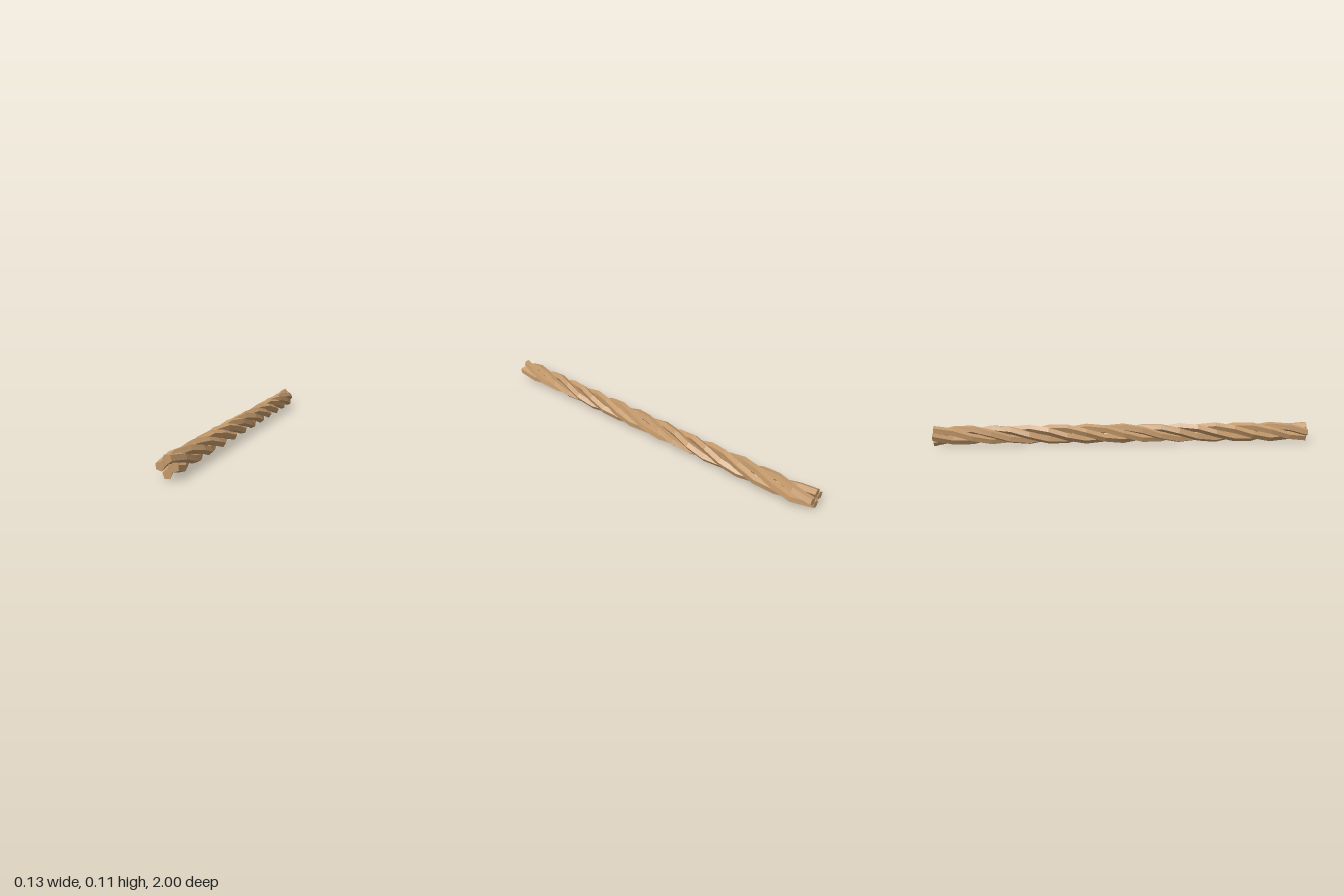
import * as THREE from 'three';

const STRANDS = 4, TURNS = 3, SEGMENTS = 20;
const HELIX_RADIUS = 0.032, STRAND_RADIUS = 0.022;
const DRIFT = THREE.MathUtils.degToRad(50); // slow roll of each strand's section

// One five-sided strand, wound around the rope's z axis
function strandGeometry(phase) {
  const geo = new THREE.CylinderGeometry(STRAND_RADIUS, STRAND_RADIUS, 2, 5, SEGMENTS);
  geo.rotateX(Math.PI / 2);
  const pos = geo.attributes.position;
  for (let i = 0; i < pos.count; i++) {
    const x = pos.getX(i), y = pos.getY(i), z = pos.getZ(i);
    const t = (1 - z) / 2; // 0 at the front end, 1 at the back end
    const wind = phase - t * TURNS * Math.PI * 2;
    const roll = phase - t * DRIFT;
    const c = Math.cos(roll), s = Math.sin(roll);
    // the back end bends slightly sideways
    const shift = z < -0.99 ? -0.022 : 0;
    pos.setXY(i,
      x * c - y * s - Math.sin(wind) * HELIX_RADIUS + 0.01 + shift,
      x * s + y * c + Math.cos(wind) * HELIX_RADIUS + 0.054);
  }
  geo.computeVertexNormals();
  return geo;
}

export function createModel() {
  const rope = new THREE.Group();
  rope.name = 'rope';
  const hemp = new THREE.MeshStandardMaterial({ color: 0xc49a6c, flatShading: true });
  hemp.name = 'hemp';
  for (let i = 0; i < STRANDS; i++) {
    const strand = new THREE.Mesh(strandGeometry(i * Math.PI * 2 / STRANDS), hemp);
    strand.name = `strand${i + 1}`;
    rope.add(strand);
  }
  return rope;
}
